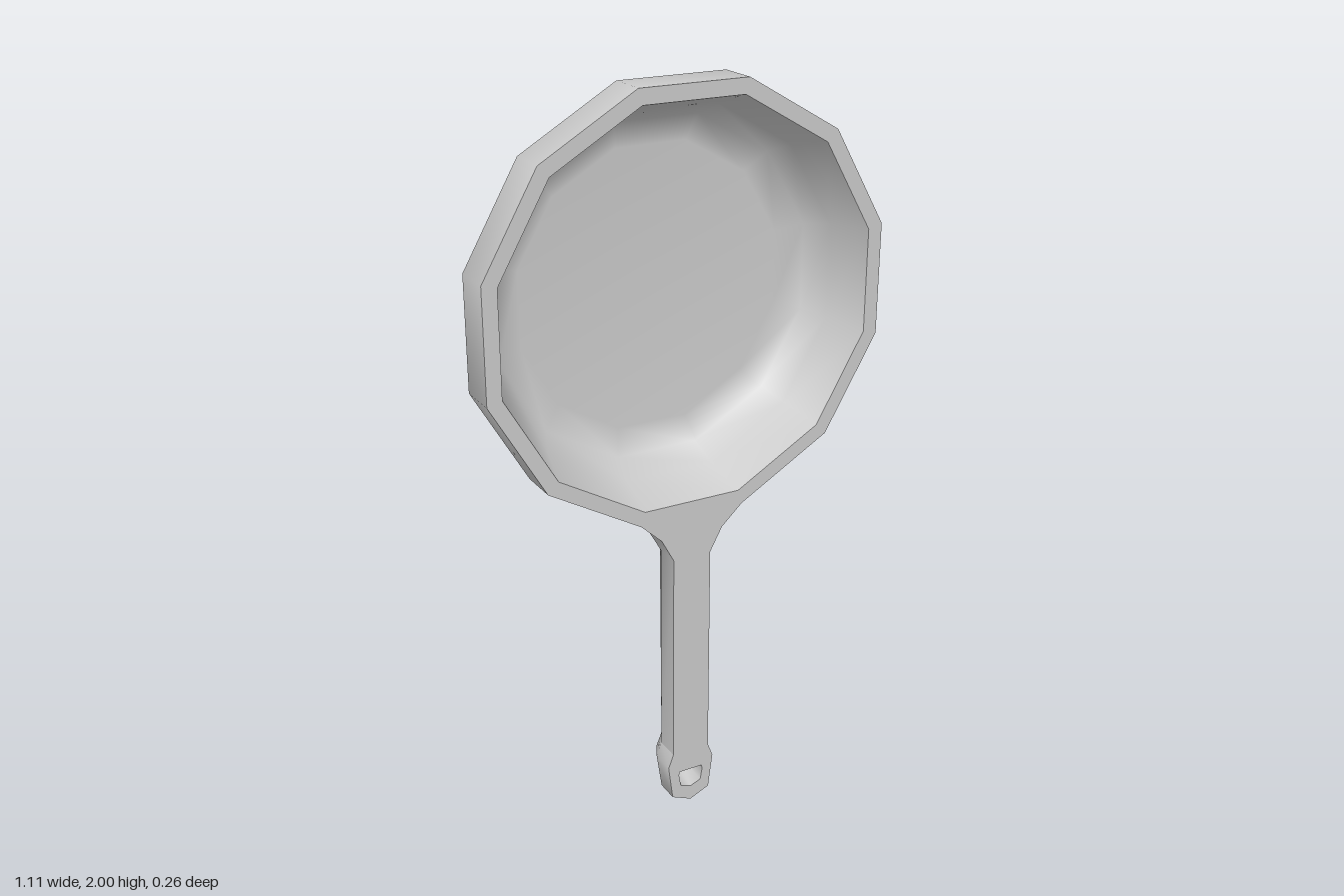
import * as THREE from 'three';
import { toCreasedNormals } from 'three/addons/utils/BufferGeometryUtils.js';

const material = new THREE.MeshStandardMaterial({ color: 0xcccccc, side: THREE.DoubleSide });
const SIDES = 12;
const PAN_Y = 1.445;

// Skin a list of closed loops of [x, y, z] points
function loft(loops, crease = 1.13) {
  const n = loops[0].length;
  const index = [];
  for (let j = 0; j < loops.length - 1; j++) {
    for (let i = 0; i < n; i++) {
      const k = (i + 1) % n;
      const a = j * n + i, b = j * n + k, c = b + n, d = a + n;
      index.push(a, b, c, a, c, d);
    }
  }
  const geometry = new THREE.BufferGeometry();
  geometry.setAttribute('position', new THREE.Float32BufferAttribute(loops.flat(2), 3));
  geometry.setIndex(index);
  return toCreasedNormals(geometry, crease);
}

function addPart(group, name, geometry) {
  const mesh = new THREE.Mesh(geometry, material);
  mesh.name = name;
  group.add(mesh);
}

// Twelve-sided turned surface facing +z; profile is [flat-side radius, z]
function turned(profile) {
  const points = profile.map(([r, z]) => new THREE.Vector2(r / Math.cos(Math.PI / SIDES), z));
  return new THREE.LatheGeometry(points, SIDES, Math.PI / SIDES)
    .rotateX(Math.PI / 2)
    .translate(0, PAN_Y, 0);
}

// Mirror a half outline (right side, top to bottom, last point on the axis)
function outline(half, z) {
  const right = half.map(([x, y], i) => [x, y, Array.isArray(z) ? z[i] : z]);
  const left = right.slice(0, -1).reverse().map(([x, y, d]) => [-x, y, d]);
  return [...right, ...left, [0, half[0][1], right[0][2]]];
}

export function createModel() {
  const group = new THREE.Group();
  group.name = 'fryingPan';

  // Pan body, split where the edges are sharp
  const pan = new THREE.Group();
  pan.name = 'pan';
  group.add(pan);
  addPart(pan, 'panBase', turned([[0, -0.13], [0.407, -0.13]]));
  addPart(pan, 'outerWall', turned([[0.407, -0.13], [0.5, -0.085], [0.555, 0.02], [0.555, 0.13]]));
  addPart(pan, 'rim', turned([[0.555, 0.13], [0.515, 0.13]]));
  addPart(pan, 'innerBowl', turned([[0.515, 0.13], [0.478, 0.01], [0.44, -0.06], [0.37, -0.09], [0, -0.09]]));

  // Handle flaring into the pan: front y, back y, half width, back half width, side z, back z
  const sections = [
    [0.165, 0.165, 0.055, 0.03, 0.06, 0.015],
    [0.77, 0.77, 0.055, 0.03, 0.06, 0.008],
    [0.835, 0.835, 0.09, 0.045, 0.05, 0.003],
    [0.89, 0.89, 0.149, 0.075, 0.02, -0.038],
    [0.892, 0.95, 0.149, 0.1, 0.015, -0.085],
  ].map(([yf, yb, w, b, zs, zb]) => [
    [w, yf, 0.13], [w, yf, zs], [b, yb, zb],
    [-b, yb, zb], [-w, yf, zs], [-w, yf, 0.13],
  ]);
  addPart(group, 'handle', loft(sections));

  // Rounded handle end with a hanging hole, skinned round the hole
  const edge = [[0.055, 0.165], [0.07, 0.125], [0.057, 0.025], [0, 0]];
  const back = [[0.03, 0.165], [0.046, 0.125], [0.04, 0.05], [0, 0.04]];
  const holeFront = [[0.035, 0.102], [0.037, 0.09], [0.031, 0.056], [0, 0.044]];
  const holeBack = [[0.035, 0.102], [0.037, 0.09], [0.031, 0.068], [0, 0.065]];
  const front = outline(edge, 0.13);
  addPart(group, 'handleEnd', loft([
    front,
    outline(edge, [0.06, 0.06, 0.065, 0.07]),
    outline(back, [0.015, 0.015, 0.016, 0.022]),
    outline(holeBack, 0.016),
    outline(holeFront, 0.13),
    front,
  ]));

  return group;
}
